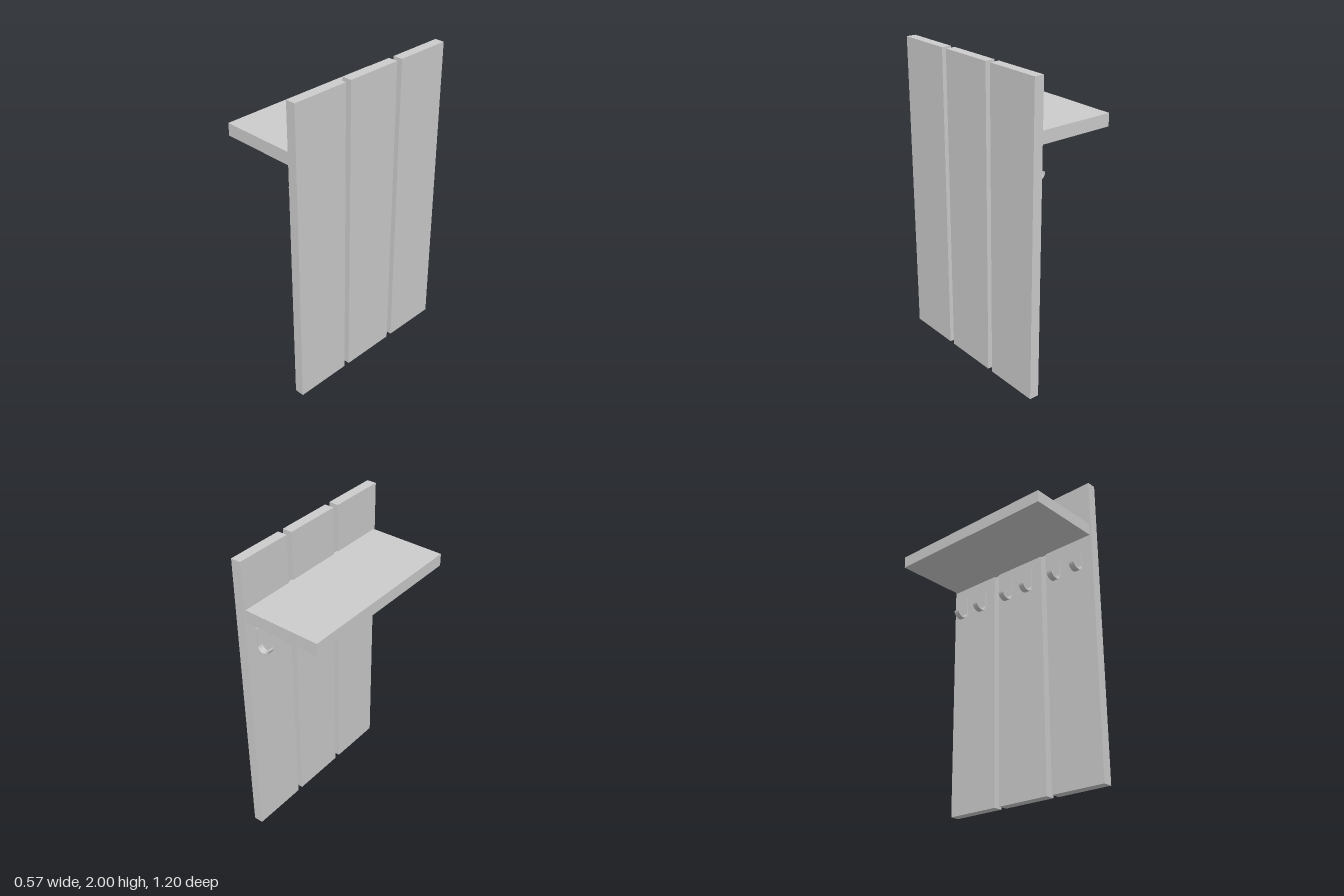
import * as THREE from 'three';

const material = new THREE.MeshStandardMaterial({ color: 0xcccccc });

// Box given by its minimum and maximum corners
function box(name, [x0, y0, z0], [x1, y1, z1]) {
  const mesh = new THREE.Mesh(new THREE.BoxGeometry(x1 - x0, y1 - y0, z1 - z0), material);
  mesh.position.set((x0 + x1) / 2, (y0 + y1) / 2, (z0 + z1) / 2);
  mesh.name = name;
  return mesh;
}

// J-shaped flat strap, extruded along z
function hookGeometry() {
  const wall = 0.223, outer = 0.046, thick = 0.008, width = 0.04;
  const cx = wall - outer, cy = 1.414, top = 1.53;
  const shape = new THREE.Shape();
  shape.moveTo(wall, top);
  shape.lineTo(wall, cy);
  shape.absarc(cx, cy, outer, 0, -Math.PI, true);
  shape.lineTo(cx - outer + thick, cy);
  shape.absarc(cx, cy, outer - thick, -Math.PI, 0, false);
  shape.lineTo(wall - thick, top);
  shape.closePath();
  const geometry = new THREE.ExtrudeGeometry(shape, { depth: width, bevelEnabled: false, curveSegments: 16 });
  return geometry.translate(0, 0, -width / 2);
}

export function createModel() {
  const model = new THREE.Group();
  model.name = 'wallCoatRack';

  // Shelf, let slightly into the boards
  model.add(box('shelf', [-0.285, 1.61, -0.588], [0.232, 1.69, 0.588]));

  // Three upright boards, each with a pair of hooks
  const hook = hookGeometry();
  for (const z of [-0.413, 0, 0.413]) {
    model.add(box('backBoard', [0.222, 0, z - 0.187], [0.285, 2, z + 0.187]));
    for (const side of [-1, 1]) {
      const mesh = new THREE.Mesh(hook, material);
      mesh.position.z = z + side * 0.088;
      mesh.name = 'coatHook';
      model.add(mesh);
    }
  }
  return model;
}
